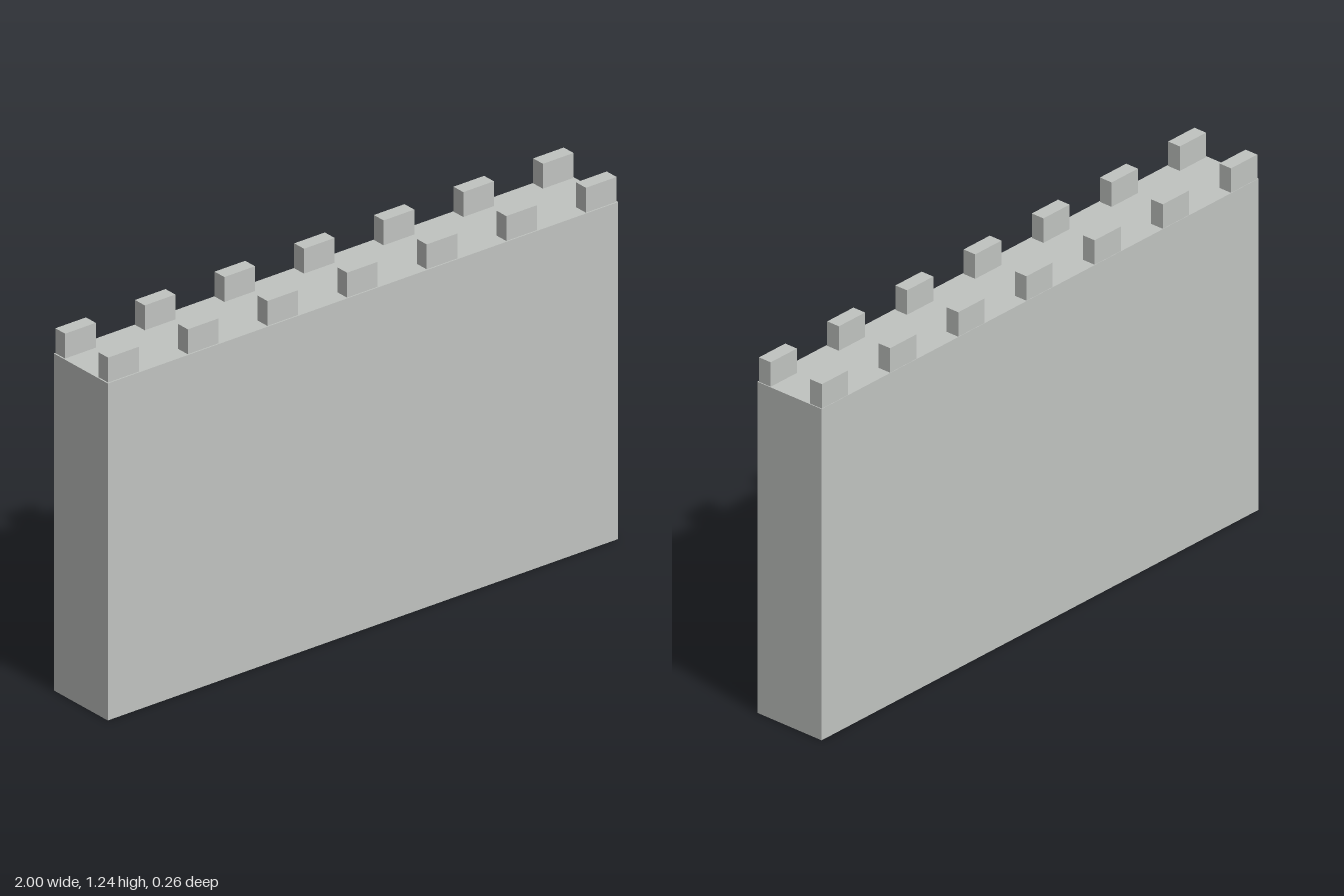
import * as THREE from 'three';

export function createModel() {
  const group = new THREE.Group();
  group.name = 'castleWall';
  const stone = new THREE.MeshStandardMaterial({ color: 0xc0c3c0 });
  stone.name = 'light stone grey';

  const addBlock = (name, [w, h, d], [x, y, z]) => {
    const mesh = new THREE.Mesh(new THREE.BoxGeometry(w, h, d), stone);
    mesh.name = name;
    mesh.position.set(x, y + h / 2, z);
    group.add(mesh);
  };

  // Solid wall body
  const wallHeight = 1.152;
  addBlock('wall', [2, wallHeight, 0.265], [0, 0, 0]);

  // Two rows of seven battlements, slightly inset at the front
  const count = 7, pitch = 0.312;
  for (let i = 0; i < count; i++) {
    const x = (i - (count - 1) / 2) * pitch + 0.001;
    addBlock('frontMerlon', [0.12, 0.085, 0.048], [x, wallHeight, 0.104]);
    addBlock('backMerlon', [0.12, 0.085, 0.048], [x, wallHeight, -0.107]);
  }
  return group;
}
